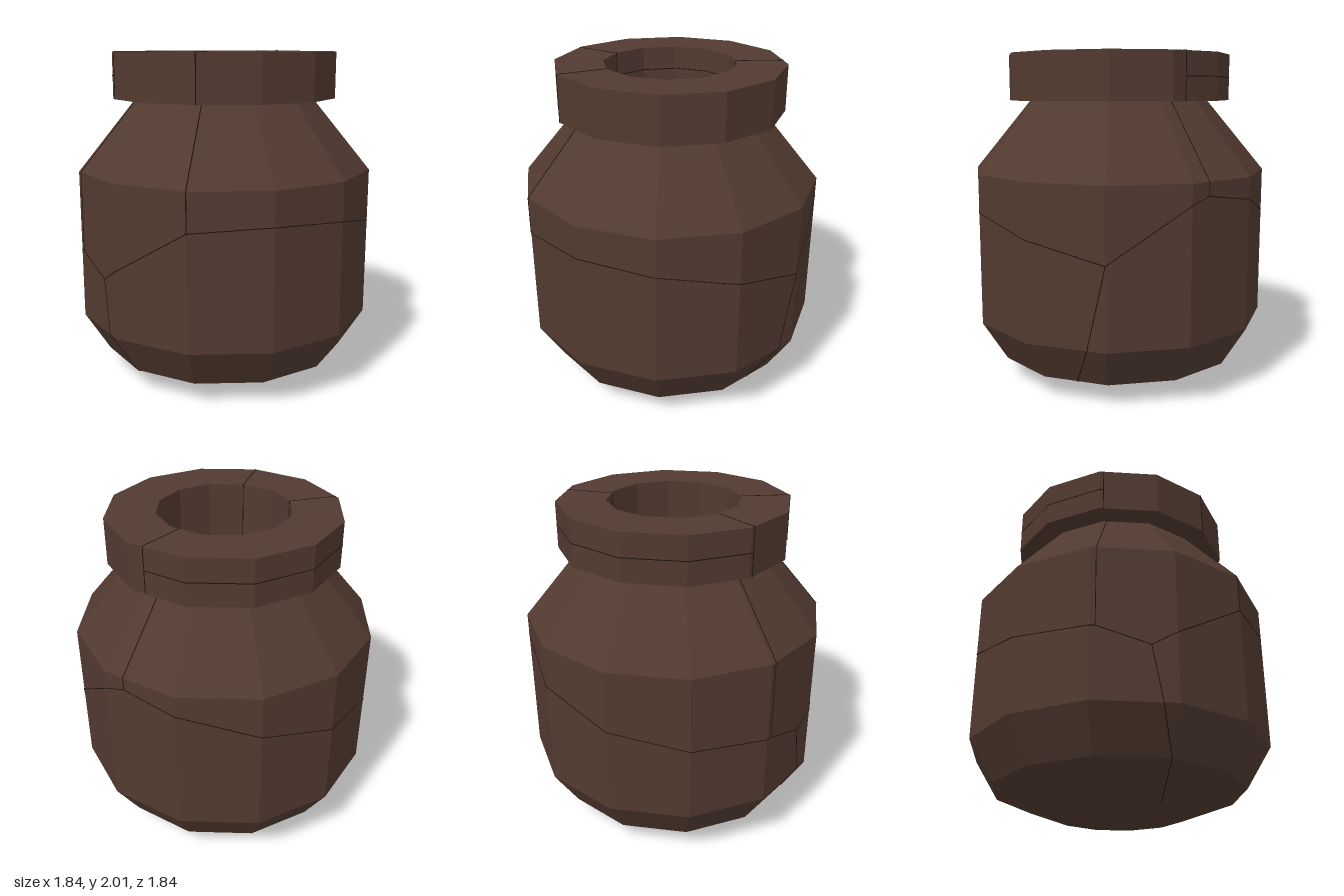
import * as THREE from 'three';

const SIDES = 12;
const clay = new THREE.MeshStandardMaterial({ color: 0x523a30, flatShading: true });
const dark = new THREE.MeshStandardMaterial({ color: 0x1c120e });

// Faceted ring of revolution from a list of [radius, height]
function turned(name, profile) {
  const points = profile.map(([r, y]) => new THREE.Vector2(r, y));
  const geometry = new THREE.LatheGeometry(points, SIDES).toNonIndexed();
  geometry.computeVertexNormals();
  const mesh = new THREE.Mesh(geometry, clay);
  mesh.name = name;
  return mesh;
}

// Point on the twelve-sided surface; k counts corners from the front towards +x
function onFacet(k, r, y) {
  const corner = (i) => {
    const a = (i * Math.PI * 2) / SIDES;
    return new THREE.Vector3(r * Math.sin(a), y, r * Math.cos(a));
  };
  const i = Math.floor(k);
  return corner(i).lerp(corner(i + 1), k - i);
}

// Hairline crack: thin dark rods laid along a path of [k, radius, height]
function crack(name, path) {
  const group = new THREE.Group();
  group.name = name;
  const pts = path.map((p) => onFacet(...p));
  for (let i = 1; i < pts.length; i++) {
    const dir = pts[i].clone().sub(pts[i - 1]);
    const rod = new THREE.Mesh(new THREE.CylinderGeometry(0.003, 0.003, dir.length(), 4), dark);
    rod.position.copy(pts[i]).add(pts[i - 1]).multiplyScalar(0.5);
    rod.quaternion.setFromUnitVectors(new THREE.Vector3(0, 1, 0), dir.normalize());
    rod.name = 'crackSegment';
    group.add(rod);
  }
  return group;
}

export function createModel() {
  const pot = new THREE.Group();
  pot.name = 'crackedPot';
  const R = 0.917, NECK = 0.56, RIM = 0.695, HOLE = 0.4;

  // Outer wall, thick rim and hollow inside
  pot.add(turned('body', [[0, 0], [0.42, 0], [0.765, 0.13], [R, 0.375], [R, 1.29], [NECK, 1.72]]));
  pot.add(turned('rim', [[NECK, 1.72], [RIM, 1.72], [RIM, 2], [HOLE, 2], [HOLE, 1.65]]));
  pot.add(turned('interior', [[HOLE, 1.65], [0.76, 1.22], [0.76, 0.42], [0.64, 0.25], [0.4, 0.16], [0, 0.16]]));

  // Crack running all the way round the belly
  const belly = [[0, 1.06], [1, 1.09], [2, 1.06], [3, 0.97], [4, 0.86], [5, 1.17], [5.28, 1.21], [6, 1.16],
    [7, 1.03], [8, 0.91], [9, 0.83], [10, 0.8], [10.07, 0.8], [10.7, 0.7], [11, 0.78], [12, 1.06]];
  pot.add(crack('bellyCrack', belly.map(([k, y]) => [k, R, y])));

  // Cracks climbing the shoulder, the rim and the inside of the mouth
  for (const [k, y] of [[0, 1.06], [5.28, 1.21], [10.07, 0.8]]) {
    pot.add(crack('shoulderCrack', [[k, R, y], [k, R, 1.29], [k, NECK, 1.72]]));
    pot.add(crack('rimCrack', [[k, RIM, 1.72], [k, RIM, 2], [k, HOLE, 2], [k, HOLE, 1.65]]));
  }

  // Level cracks round the back of the rim, outside and inside
  for (const r of [RIM, HOLE]) {
    pot.add(crack('levelRimCrack', [5.28, 6, 7, 8, 9, 10, 10.07].map((k) => [k, r, 1.86])));
  }

  // Cracks running down to the base and across the floor
  pot.add(crack('lowerLeftCrack', [[4, R, 0.86], [3.77, R, 0.375], [3.53, 0.765, 0.13], [3.3, 0.42, 0]]));
  pot.add(crack('lowerRightCrack', [[10.7, R, 0.7], [10.82, R, 0.375], [11, 0.78, 0.155], [11.03, 0.765, 0.13], [11.5, 0.42, 0]]));
  pot.add(crack('floorCrack', [[2.75, 0.4, 0.16], [11.85, 0.4, 0.16]]));
  return pot;
}
